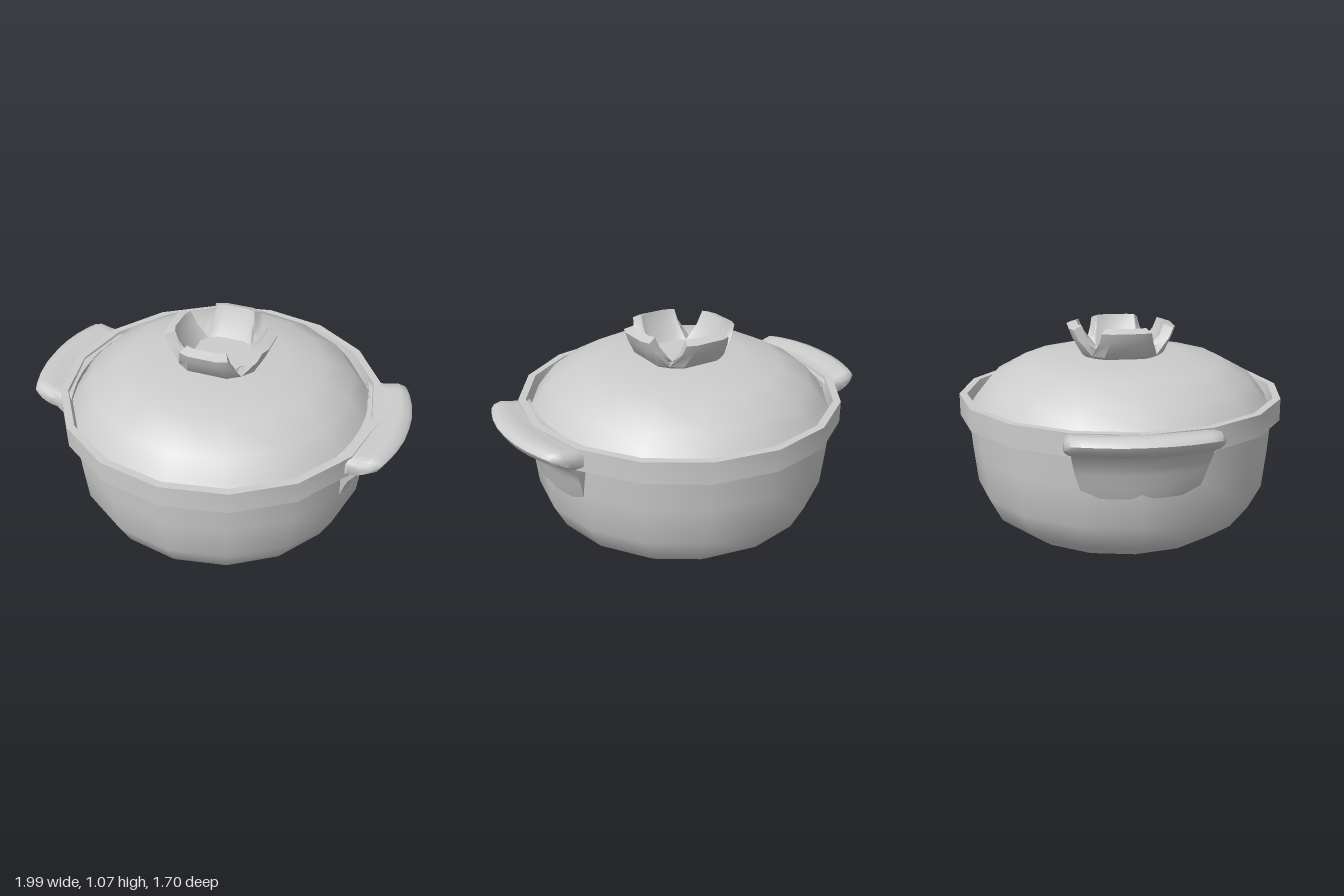
import * as THREE from 'three';
import { toCreasedNormals } from 'three/addons/utils/BufferGeometryUtils.js';

const material = new THREE.MeshStandardMaterial({ color: 0xcccccc, side: THREE.DoubleSide });

function part(name, geometry, crease = 0.8) {
  const mesh = new THREE.Mesh(toCreasedNormals(geometry, crease), material);
  mesh.name = name;
  return mesh;
}

// Sixteen-sided turned shape from [radius, height] pairs
function turned(name, profile) {
  return part(name, new THREE.LatheGeometry(profile.map(p => new THREE.Vector2(...p)), 16));
}

// Skin over a row of closed rings of [x, y, z], capped at both ends
function loft(rings) {
  const n = rings[0].length;
  const positions = rings.flat(2);
  const index = [];
  for (let i = 0; i < rings.length - 1; i++) {
    for (let j = 0; j < n; j++) {
      const a = i * n + j, b = i * n + (j + 1) % n;
      index.push(a, b, a + n, b, b + n, a + n);
    }
  }
  [0, rings.length - 1].forEach((r, end) => {
    const centre = positions.length / 3;
    for (let k = 0; k < 3; k++) positions.push(rings[r].reduce((s, p) => s + p[k], 0) / n);
    for (let j = 0; j < n; j++) {
      const a = r * n + j, b = r * n + (j + 1) % n;
      if (end) index.push(centre, a, b); else index.push(centre, b, a);
    }
  });
  const g = new THREE.BufferGeometry();
  g.setAttribute('position', new THREE.Float32BufferAttribute(positions, 3));
  g.setIndex(index);
  return g;
}

function createHandle(name) {
  const handle = new THREE.Group();
  handle.name = name;

  // Grip: section in x and y, moved inward and slimmed towards both ends
  const grip = [[0.77, 0.59], [0.87, 0.6], [0.93, 0.628], [0.982, 0.66], [0.997, 0.69],
    [0.98, 0.713], [0.935, 0.724], [0.88, 0.708], [0.77, 0.69]];
  const half = [[0, 0, 1], [0.1, 0.004, 1], [0.2, 0.02, 0.97], [0.29, 0.045, 0.93], [0.34, 0.06, 0.86], [0.362, 0.067, 0.5]];
  const stations = [...half.slice(1).reverse().map(([z, d, s]) => [-z, d, s]), ...half];
  handle.add(part('grip', loft(stations.map(([z, inset, s]) =>
    grip.map(([x, y]) => [0.91 + (x - 0.91) * (x < 0.91 && s > 0.8 ? 1 : s) - inset, 0.655 + (y - 0.655) * s, z]))), 0.95));

  // Bracket: flares from the pot wall up into the grip
  const bracket = [[0.7, 0.36, 0.27], [0.778, 0.37, 0.27], [0.8, 0.43, 0.29], [0.82, 0.5, 0.31],
    [0.835, 0.54, 0.318], [0.875, 0.6, 0.33], [0.91, 0.63, 0.335], [0.88, 0.67, 0.335], [0.7, 0.66, 0.33]];
  handle.add(part('bracket', loft([-1, -0.66, -0.33, 0, 0.33, 0.66, 1].map(u =>
    bracket.map(([x, y, w]) => [x - 0.06 * u * u, y, u * w])))));
  return handle;
}

function createKnob() {
  const knob = new THREE.Group();
  knob.name = 'knob';
  // Petal section: radius, height, half angle in degrees
  const section = [[0.17, 0.87, 45], [0.236, 0.918, 45], [0.272, 1.0, 30], [0.287, 1.048, 26],
    [0.235, 1.066, 26], [0.215, 1.01, 29], [0.165, 0.918, 45], [0.12, 0.87, 45]];
  const petal = loft([-1, -0.6, 0.6, 1].map(u => section.map(([r, y, deg]) => {
    const a = THREE.MathUtils.degToRad(deg) * u;
    return [r * Math.cos(a), y, r * Math.sin(a)];
  })));
  for (let i = 0; i < 4; i++) {
    const mesh = part('knobPetal', petal, 0.6);
    mesh.rotation.y = i * Math.PI / 2;
    knob.add(mesh);
  }
  knob.add(turned('knobFloor', [[0.17, 0.87], [0.17, 0.916], [0, 0.916]]));
  return knob;
}

export function createModel() {
  const model = new THREE.Group();
  model.name = 'casserole';

  // Bowl with a stepped rim and an inner ledge under the lid
  model.add(turned('bowl', [[0, 0], [0.575, 0], [0.7, 0.09], [0.768, 0.22], [0.79, 0.42], [0.803, 0.59],
    [0.848, 0.59], [0.848, 0.704], [0.808, 0.704], [0.79, 0.64], [0.73, 0.63]]));
  model.add(turned('lid', [[0.8, 0.64], [0.757, 0.7], [0.69, 0.782], [0.53, 0.87], [0.345, 0.901], [0, 0.904]]));
  model.add(createKnob());

  const left = createHandle('leftHandle');
  const right = createHandle('rightHandle');
  right.rotation.y = Math.PI;
  model.add(left, right);
  return model;
}
